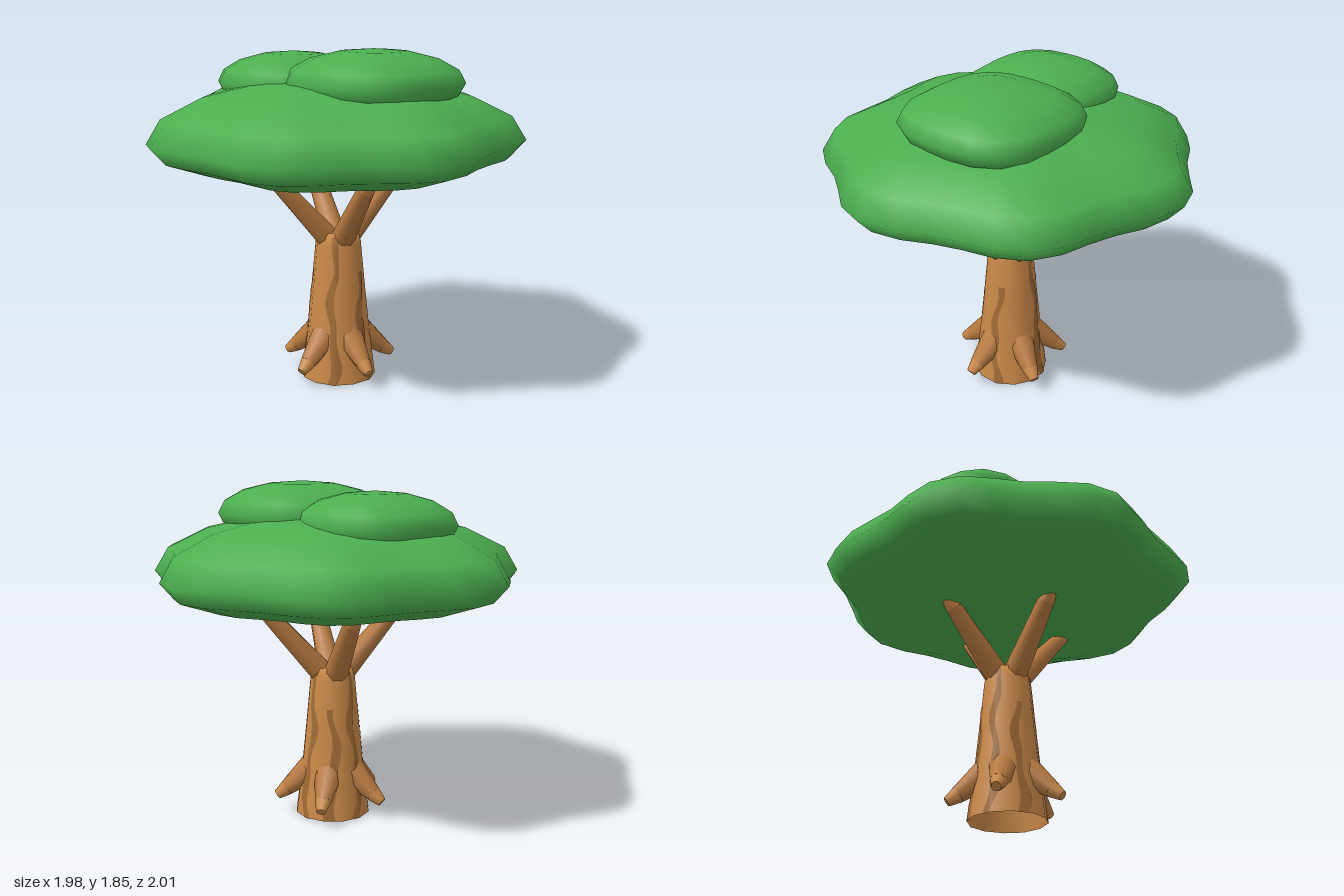
import * as THREE from 'three';
import { mergeVertices } from 'three/addons/utils/BufferGeometryUtils.js';

const SIDES = 12;
const AXIS_X = -0.03;
// trunk profile: radius, height
const PROFILE = [[0.21, 0], [0.177, 0.26], [0.148, 0.55], [0.126, 0.78], [0.11, 0.84]];

// distance from the trunk axis to its faceted surface
function trunkRadius(phi, y) {
  let i = 0;
  while (i < PROFILE.length - 2 && y > PROFILE[i + 1][1]) i++;
  const [r0, y0] = PROFILE[i], [r1, y1] = PROFILE[i + 1];
  const r = r0 + (r1 - r0) * (y - y0) / (y1 - y0);
  const step = 2 * Math.PI / SIDES;
  const a = ((phi % step) + step) % step;
  return r * Math.cos(step / 2) / Math.cos(a - step / 2);
}

// flattened sphere whose outline swells into lobes
function lobedBlob(radius, height, depth, lobes, wave, segments) {
  const geo = new THREE.SphereGeometry(1, segments, 8);
  const p = geo.attributes.position;
  for (let i = 0; i < p.count; i++) {
    const x = p.getX(i), y = p.getY(i), z = p.getZ(i);
    const r = radius + wave * Math.cos(lobes * Math.atan2(z, x));
    p.setXYZ(i, x * r, y * (y > 0 ? height : depth), z * r);
  }
  geo.deleteAttribute('uv');
  geo.deleteAttribute('normal');
  const smooth = mergeVertices(geo, 1e-4);
  smooth.computeVertexNormals();
  return smooth;
}

// thin wavy strip lying on the trunk surface
function barkStripe(phi0, top, phase) {
  const rows = 30, cols = 4, pos = [], index = [];
  for (let i = 0; i <= rows; i++) {
    const y = top * i / rows;
    const mid = phi0 + 0.1 * Math.sin(y * 11 + phase) + 0.05 * Math.sin(y * 23 + phase);
    const half = 0.13 + 0.03 * Math.sin(y * 17 + phase * 2);
    for (let j = 0; j <= cols; j++) {
      const phi = mid + half * (2 * j / cols - 1);
      const r = trunkRadius(phi, y) + 0.003;
      pos.push(r * Math.sin(phi), y, r * Math.cos(phi));
      if (i < rows && j < cols) {
        const a = i * (cols + 1) + j, b = a + cols + 1;
        index.push(a, a + 1, b, a + 1, b + 1, b);
      }
    }
  }
  const geo = new THREE.BufferGeometry();
  geo.setAttribute('position', new THREE.Float32BufferAttribute(pos, 3));
  geo.setIndex(index);
  geo.computeVertexNormals();
  return geo;
}

export function createModel() {
  const model = new THREE.Group();
  const material = (name, color, side = THREE.FrontSide) => {
    const m = new THREE.MeshStandardMaterial({ color, side });
    m.name = name;
    return m;
  };
  const leaf = material('leafGreen', 0x4caf50);
  const wood = material('wood', 0xc98848, THREE.DoubleSide);
  const limbWood = material('limbWood', 0xb87a40);
  const darkBark = material('darkBark', 0xa06a36, THREE.DoubleSide);

  function add(name, geo, mat, x = 0, y = 0, z = 0, parent = model) {
    const mesh = new THREE.Mesh(geo, mat);
    mesh.name = name;
    mesh.position.set(x, y, z);
    parent.add(mesh);
    return mesh;
  }

  // tapered rod between two points
  function rod(name, from, to, r0, r1, mat, parent) {
    const dir = to.clone().sub(from);
    const mesh = add(name, new THREE.CylinderGeometry(r1, r0, dir.length(), 8), mat, 0, 0, 0, parent);
    mesh.position.copy(from).add(to).multiplyScalar(0.5);
    mesh.quaternion.setFromUnitVectors(new THREE.Vector3(0, 1, 0), dir.normalize());
  }

  // limb spreading from the trunk, made of sections [distance, height, thickness]
  function limb(name, angle, sections) {
    const group = new THREE.Group();
    group.name = name;
    group.position.x = AXIS_X;
    model.add(group);
    const pts = sections.map(([d, y]) => new THREE.Vector3(d * Math.cos(angle), y, d * Math.sin(angle)));
    rod(name + 'Body', pts[0], pts[1], sections[0][2], sections[1][2], limbWood, group);
    rod(name + 'Tip', pts[1], pts[2], sections[1][2], sections[2][2], wood, group);
  }

  // trunk, open at the ground and closed at the top
  const outline = PROFILE.map(([r, y]) => new THREE.Vector2(r, y));
  outline.push(new THREE.Vector2(0, 0.845));
  add('trunk', new THREE.LatheGeometry(outline, SIDES), wood, AXIS_X);

  // bark stripes
  [94, 34, -55, -105, -150, 165].forEach((deg, i) => {
    const phi = Math.PI / 2 - THREE.MathUtils.degToRad(deg);
    add('barkStripe', barkStripe(phi, i % 2 ? 0.62 : 0.82, i * 1.3), darkBark, AXIS_X);
  });

  // five roots
  for (let i = 0; i < 5; i++) {
    limb('root', THREE.MathUtils.degToRad(52 + 72 * i),
      [[0.12, 0.25, 0.08], [0.26, 0.135, 0.045], [0.315, 0.095, 0.026]]);
  }

  // four branches
  for (let i = 0; i < 4; i++) {
    limb('branch', THREE.MathUtils.degToRad(60 + 90 * i),
      [[0.05, 0.79, 0.068], [0.355, 1.135, 0.046], [0.43, 1.21, 0.03]]);
  }

  // leaf crown with two smaller mounds on top
  add('crown', lobedBlob(0.98, 0.33, 0.23, 7, 0.045, 36), leaf, -0.045, 1.36, 0);
  add('frontMound', lobedBlob(0.455, 0.175, 0.175, 4, 0.025, 20), leaf, 0.17, 1.67, 0.11);
  add('backMound', lobedBlob(0.405, 0.17, 0.17, 4, 0.022, 20), leaf, -0.3, 1.64, -0.19);

  return model;
}
